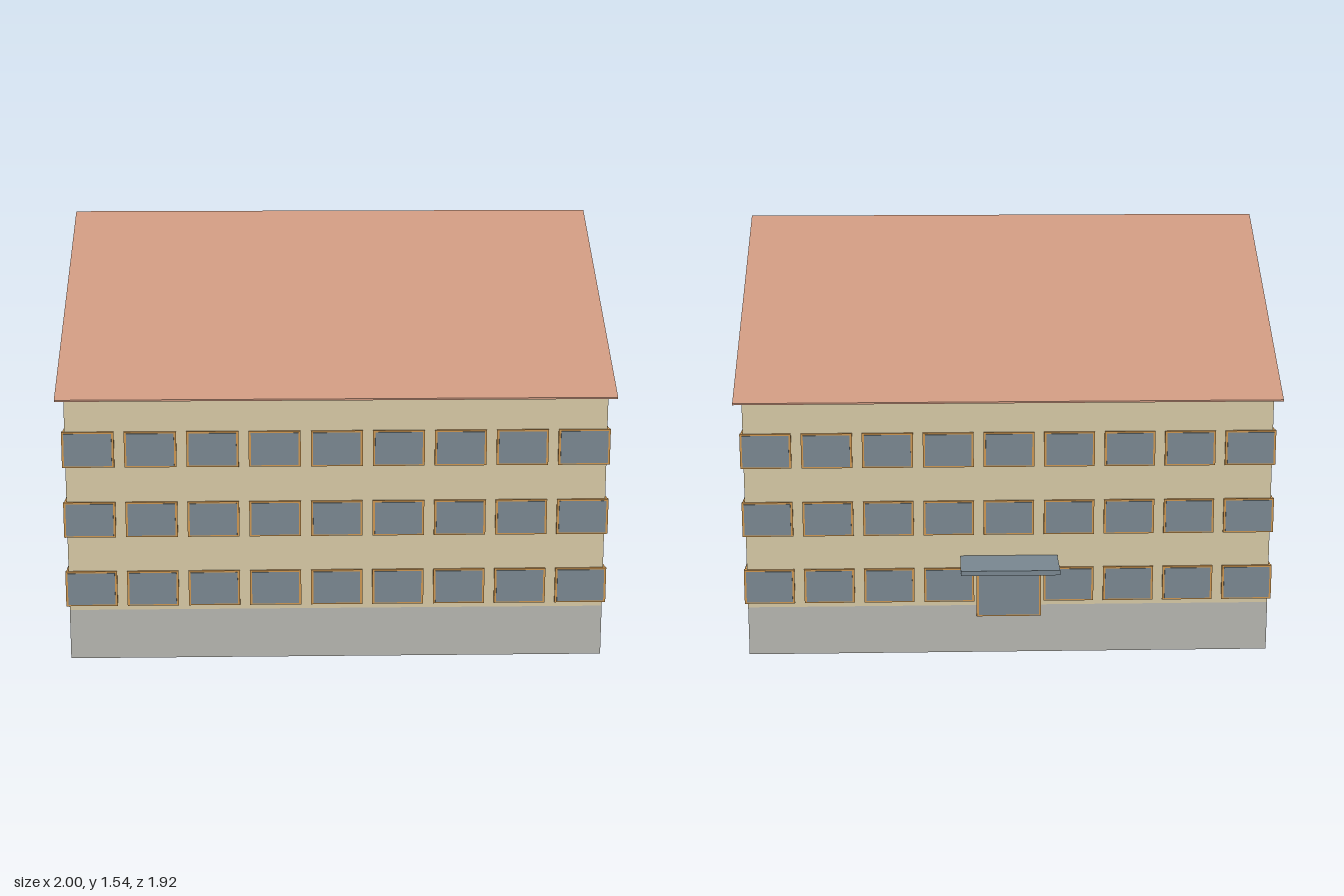
import * as THREE from 'three';

const paint = (name, color) => {
  const m = new THREE.MeshStandardMaterial({ color });
  m.name = name;
  return m;
};

export function createModel() {
  const wallPaint = paint('cream plaster', 0xd4c7a3);
  const stone = paint('grey stone', 0xb4b3ae);
  const tile = paint('terracotta tile', 0xc9957d);
  const glassPaint = paint('blue grey glass', 0x78868f);
  const wood = paint('orange wood', 0xcb9550);

  const model = new THREE.Group();
  model.name = 'building';
  const X = 0.97, FRONT = 0.934, BACK = -0.776, MID = (FRONT + BACK) / 2;

  const box = (parent, name, material, size, pos) => {
    const mesh = new THREE.Mesh(new THREE.BoxGeometry(...size), material);
    mesh.position.set(...pos);
    mesh.name = name;
    parent.add(mesh);
    return mesh;
  };

  // Plinth and upper walls
  box(model, 'plinth', stone, [2 * X, 0.185, FRONT - BACK], [0, 0.0925, MID]);
  box(model, 'walls', wallPaint, [2 * X, 0.78, FRONT - BACK], [0, 0.575, MID]);

  // Solid gable roof, its profile drawn in z and y and extruded along x
  const profile = new THREE.Shape();
  profile.moveTo(-0.96, 0.965);
  profile.lineTo(0.808, 0.965);
  profile.lineTo(0.808, 0.971);
  profile.lineTo(-0.076, 1.537);
  profile.lineTo(-0.96, 0.971);
  const roofShape = new THREE.ExtrudeGeometry(profile, { depth: 2, bevelEnabled: false });
  roofShape.rotateY(Math.PI / 2).translate(-1, 0, 0);
  const roof = new THREE.Mesh(roofShape, tile);
  roof.name = 'roof';
  model.add(roof);

  // Framed pane set on a wall plane; local +z points out of the wall
  const pane = (parent, name, x, y, w, h) => {
    const unit = new THREE.Group();
    unit.name = name;
    unit.position.set(x, y, 0);
    box(unit, 'frame', wood, [w, h, 0.014], [0, 0, 0.001]);
    box(unit, 'glass', glassPaint, [w - 0.016, h - 0.012, 0.008], [0, 0, 0.007]);
    parent.add(unit);
  };

  // Three rows of windows on each facade
  const facade = (name, count, pitch, angle, x, z) => {
    const side = new THREE.Group();
    side.name = name;
    side.position.set(x, 0, z);
    side.rotation.y = angle;
    for (const y of [0.267, 0.526, 0.785]) {
      for (let i = 0; i < count; i++) {
        pane(side, 'window', (i - (count - 1) / 2) * pitch, y, 0.186, 0.13);
      }
    }
    model.add(side);
    return side;
  };
  facade('frontWindows', 9, 0.222, 0, 0, FRONT);
  const back = facade('backWindows', 9, 0.222, Math.PI, 0, BACK);
  facade('leftWindows', 8, 0.2203, Math.PI / 2, X, MID);
  facade('rightWindows', 8, 0.2203, -Math.PI / 2, -X, MID);

  // Rear entrance with a flat canopy
  const door = new THREE.Group();
  door.name = 'door';
  door.position.z = 0.005;
  pane(door, 'doorLeaf', 0, 0.248, 0.24, 0.206);
  back.add(door);
  box(model, 'canopy', glassPaint, [0.36, 0.018, 0.186], [0, 0.369, -0.867]);

  return model;
}
